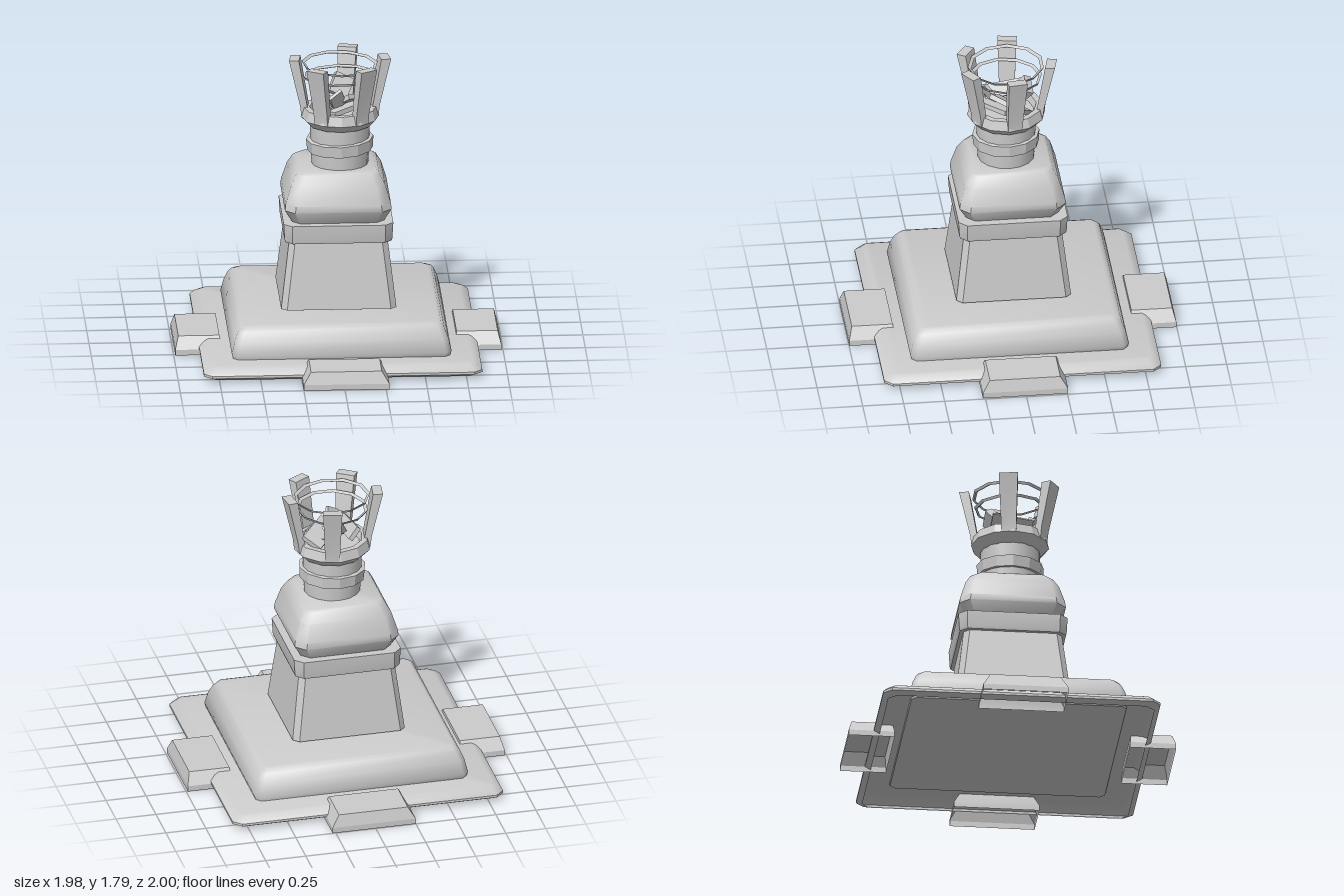
import * as THREE from 'three';
import { toCreasedNormals } from 'three/addons/utils/BufferGeometryUtils.js';

const smooth = new THREE.MeshStandardMaterial({ color: 0xcccccc });
const smoothDouble = new THREE.MeshStandardMaterial({ color: 0xcccccc, side: THREE.DoubleSide });
const flat = new THREE.MeshStandardMaterial({ color: 0xcccccc, flatShading: true });
const flatDouble = new THREE.MeshStandardMaterial({ color: 0xcccccc, flatShading: true, side: THREE.DoubleSide });

// Joins stacked rings of [x, y, z] corners, counter-clockwise seen from above
function loft(rings, bottom = true, crease = 0.5) {
  const pos = [];
  const tri = (a, b, c) => pos.push(...a, ...b, ...c);
  const n = rings[0].length;
  for (let r = 0; r < rings.length - 1; r++) {
    for (let i = 0; i < n; i++) {
      const j = (i + 1) % n, lo = rings[r], hi = rings[r + 1];
      tri(lo[i], lo[j], hi[j]);
      tri(lo[i], hi[j], hi[i]);
    }
  }
  const top = rings[rings.length - 1], base = rings[0];
  for (let i = 1; i < n - 1; i++) {
    tri(top[0], top[i], top[i + 1]);
    if (bottom) tri(base[0], base[i + 1], base[i]);
  }
  const g = new THREE.BufferGeometry();
  g.setAttribute('position', new THREE.Float32BufferAttribute(pos, 3));
  g.computeVertexNormals();
  return toCreasedNormals(g, crease);
}

// Square ring with cut corners
function square([y, h, c]) {
  const k = h - c;
  return [[h, y, k], [h, y, -k], [k, y, -h], [-k, y, -h], [-h, y, -k], [-h, y, k], [-k, y, h], [k, y, h]];
}

// Plain rectangle ring
const rect = (y, x0, x1, z0, z1) => [[x1, y, z1], [x1, y, z0], [x0, y, z0], [x0, y, z1]];

export function createModel() {
  const model = new THREE.Group();
  const add = (name, geometry, material = smooth, parent = model) => {
    const mesh = new THREE.Mesh(geometry, material);
    mesh.name = name;
    parent.add(mesh);
    return mesh;
  };
  // Square tier from levels of [height, half width, corner cut]
  const tier = (name, levels, crease, bottom = true, material = smooth) =>
    add(name, loft(levels.map(square), bottom, crease), material);

  // Hollow base slab, open underneath
  tier('baseSlab', [[0.015, 0.81, 0.05], [0.035, 0.845, 0.05], [0.05, 0.845, 0.05], [0.08, 0.815, 0.045], [0.092, 0.79, 0.04]], 0.7, false, smoothDouble);
  tier('plinth', [[0.08, 0.655, 0.03], [0.12, 0.667, 0.035], [0.2, 0.648, 0.035], [0.255, 0.625, 0.035], [0.278, 0.608, 0.035], [0.288, 0.585, 0.035]], 1);
  tier('column', [[0.302, 0.35, 0.035], [0.715, 0.3, 0.035]], 0.5);
  tier('columnBand', [[0.715, 0.323, 0.045], [0.73, 0.327, 0.045], [0.83, 0.333, 0.05]], 0.5);
  tier('shoulderBlock', [[0.83, 0.28, 0.05], [0.91, 0.324, 0.06], [0.95, 0.319, 0.06], [1.06, 0.285, 0.05], [1.12, 0.252, 0.05], [1.135, 0.235, 0.05]], 0.75);

  // Four hollow tabs around the base, open underneath
  const tab = loft([rect(0, 0.71, 0.99, -0.26, 0.26), rect(0.035, 0.71, 0.99, -0.26, 0.26), rect(0.11, 0.72, 0.97, -0.215, 0.215)], false, 0.2);
  for (let i = 0; i < 4; i++) {
    const mesh = add('baseTab', tab, smoothDouble);
    mesh.rotation.y = i * Math.PI / 2;
    mesh.position.set(i % 2 ? 0.01 : 0, 0, i % 2 ? (i - 2) * 0.008 : 0.005);
  }

  // Everything round sits on one shared axis
  const torch = new THREE.Group();
  torch.name = 'torchHead';
  torch.position.set(0.023, 0, 0.014);
  model.add(torch);

  const lathe = (pts, sides) => new THREE.LatheGeometry(pts.map(p => new THREE.Vector2(...p)), sides);
  add('neck', lathe([[0.172, 1.13], [0.18, 1.26], [0.182, 1.4]], 16), smooth, torch);
  const band = add('neckBand', lathe([[0.175, -0.035], [0.2, -0.035], [0.205, 0.035], [0.175, 0.04]], 12), flat, torch);
  band.position.y = 1.26;
  band.rotation.set(0.02, 0, 0.04);

  // Cup with a sunken floor
  add('cup', lathe([[0.17, 1.375], [0.195, 1.385], [0.238, 1.43], [0.222, 1.49], [0.185, 1.49], [0.17, 1.45], [0, 1.45]], 12), flatDouble, torch);

  // Five unevenly spaced prongs leaning outward, thicker towards the top
  const prong = loft([
    rect(1.43, 0.19, 0.23, -0.045, 0.045),
    rect(1.5, 0.195, 0.238, -0.047, 0.047),
    rect(1.79, 0.245, 0.305, -0.058, 0.058),
  ], true, 0.2);
  for (const angle of [8, 77, 172, 237, 303]) {
    add('prong', prong, smooth, torch).rotation.y = THREE.MathUtils.degToRad(angle);
  }

  // Thin uneven hoops tying the prongs together
  [[1.76, 0.225, 0.02, -0.03, 0], [1.685, 0.212, -0.03, 0.02, 0.3]].forEach(([y, r, rx, rz, turn]) => {
    const hoop = add('hoop', lathe([[r - 0.012, -0.003], [r, -0.009], [r + 0.008, 0.007], [r - 0.012, -0.003]], 11), flatDouble, torch);
    hoop.position.y = y;
    hoop.rotation.set(rx, turn, rz);
  });

  // Loose tilted slabs lying in the cup: [size], [position], [rotation]
  const slabs = [
    [[0.12, 0.13, 0.05], [0.01, 1.59, -0.1], [-0.5, 0.3, -0.4]],
    [[0.09, 0.03, 0.25], [-0.1, 1.54, 0], [0.1, 0.1, -0.9]],
    [[0.14, 0.03, 0.26], [0.02, 1.5, 0.05], [0.15, -0.9, 0.2]],
    [[0.13, 0.03, 0.24], [0.08, 1.53, -0.02], [-0.2, -0.7, 0.4]],
    [[0.09, 0.13, 0.02], [-0.02, 1.56, 0.1], [0.5, 0.6, 0.3]],
  ];
  for (const [size, position, rotation] of slabs) {
    const mesh = add('fuelSlab', new THREE.BoxGeometry(...size), flat, torch);
    mesh.position.set(...position);
    mesh.rotation.set(...rotation);
  }

  return model;
}
